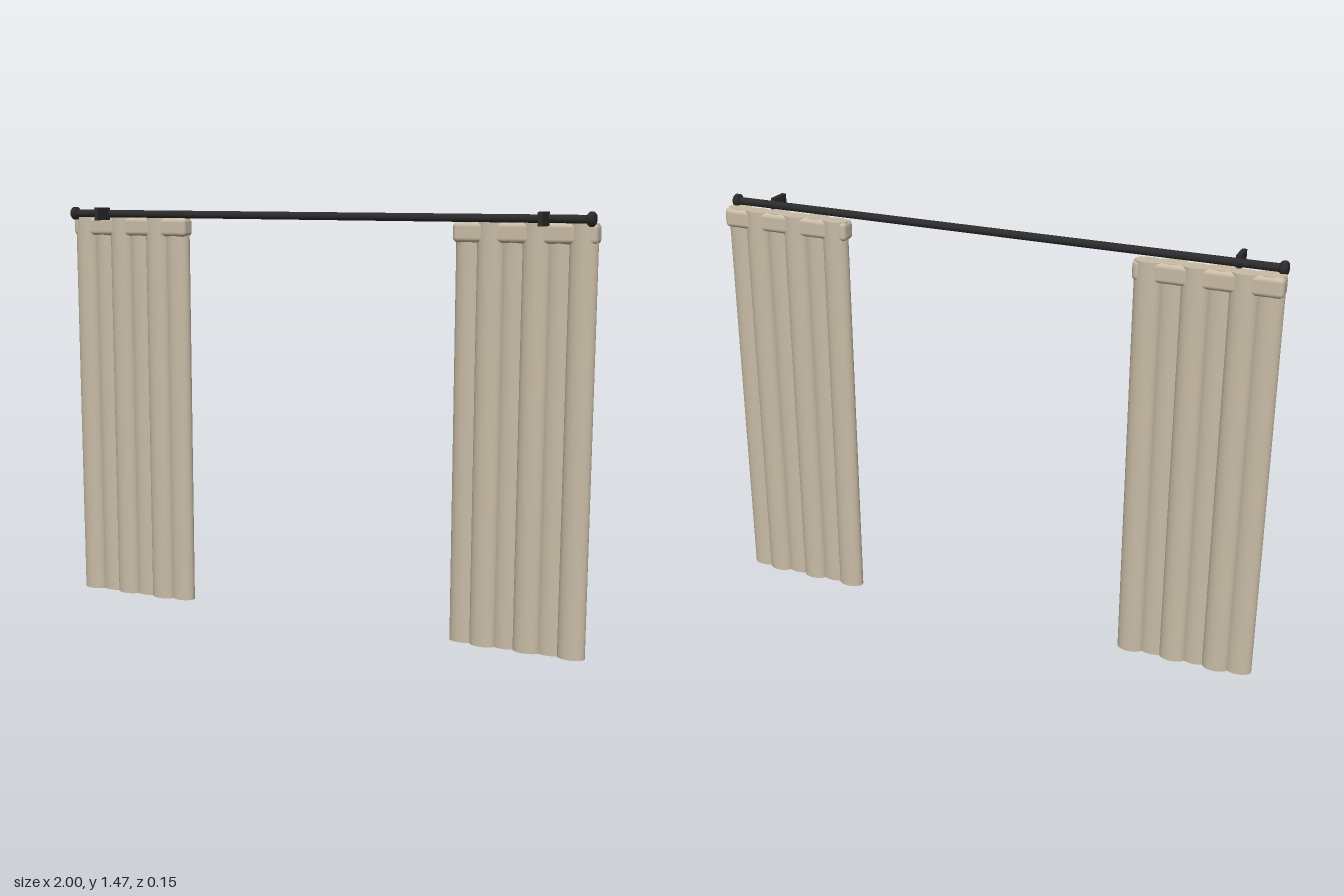
import * as THREE from 'three';
import { RoundedBoxGeometry } from 'three/addons/geometries/RoundedBoxGeometry.js';

const fabric = new THREE.MeshStandardMaterial({ color: 0xc9bca6 });
const metal = new THREE.MeshStandardMaterial({ color: 0x2b2b2b });

const ROD_Y = 1.45;
const CLOTH_H = 1.437;

function addMesh(parent, name, geometry, material, x, y, z) {
  const mesh = new THREE.Mesh(geometry, material);
  mesh.name = name;
  mesh.position.set(x, y, z);
  parent.add(mesh);
  return mesh;
}

// One gathered curtain: overlapping oval folds staggered in depth, plus a header band
function makeCurtain(side) {
  const curtain = new THREE.Group();
  curtain.name = side > 0 ? 'leftCurtain' : 'rightCurtain';
  for (let i = 0; i < 6; i++) {
    const fold = new THREE.CylinderGeometry(1, 1, CLOTH_H, 32);
    fold.scale(0.047, 1, 0.031);
    const z = i % 2 === 0 ? -0.031 : -0.044;
    addMesh(curtain, 'fold' + (i + 1), fold, fabric, side * (0.952 - i * 0.0775), CLOTH_H / 2, z);
  }
  const band = new RoundedBoxGeometry(0.486, 0.068, 0.064, 4, 0.016);
  addMesh(curtain, 'headerBand', band, fabric, side * 0.757, CLOTH_H - 0.034, -0.0375);
  return curtain;
}

export function createModel() {
  const model = new THREE.Group();
  model.name = 'curtains';

  // Rod
  const rod = new THREE.CylinderGeometry(0.0135, 0.0135, 1.96, 16);
  rod.rotateZ(Math.PI / 2);
  addMesh(model, 'rod', rod, metal, 0, ROD_Y, 0);

  // Finial profile: a short knob with softened rims
  const profile = [[0, -0.013], [0.017, -0.013], [0.0235, -0.007], [0.0235, 0.007], [0.017, 0.013], [0, 0.013]]
    .map(([r, y]) => new THREE.Vector2(r, y));

  for (const side of [-1, 1]) {
    model.add(makeCurtain(side));

    const finial = new THREE.LatheGeometry(profile, 16);
    finial.rotateZ(Math.PI / 2);
    addMesh(model, 'finial', finial, metal, side * 0.983, ROD_Y, 0);

    // Bracket plate reaching from the rod
    addMesh(model, 'bracket', new THREE.BoxGeometry(0.016, 0.046, 0.076), metal, side * 0.838, ROD_Y, 0.038);
  }
  return model;
}
